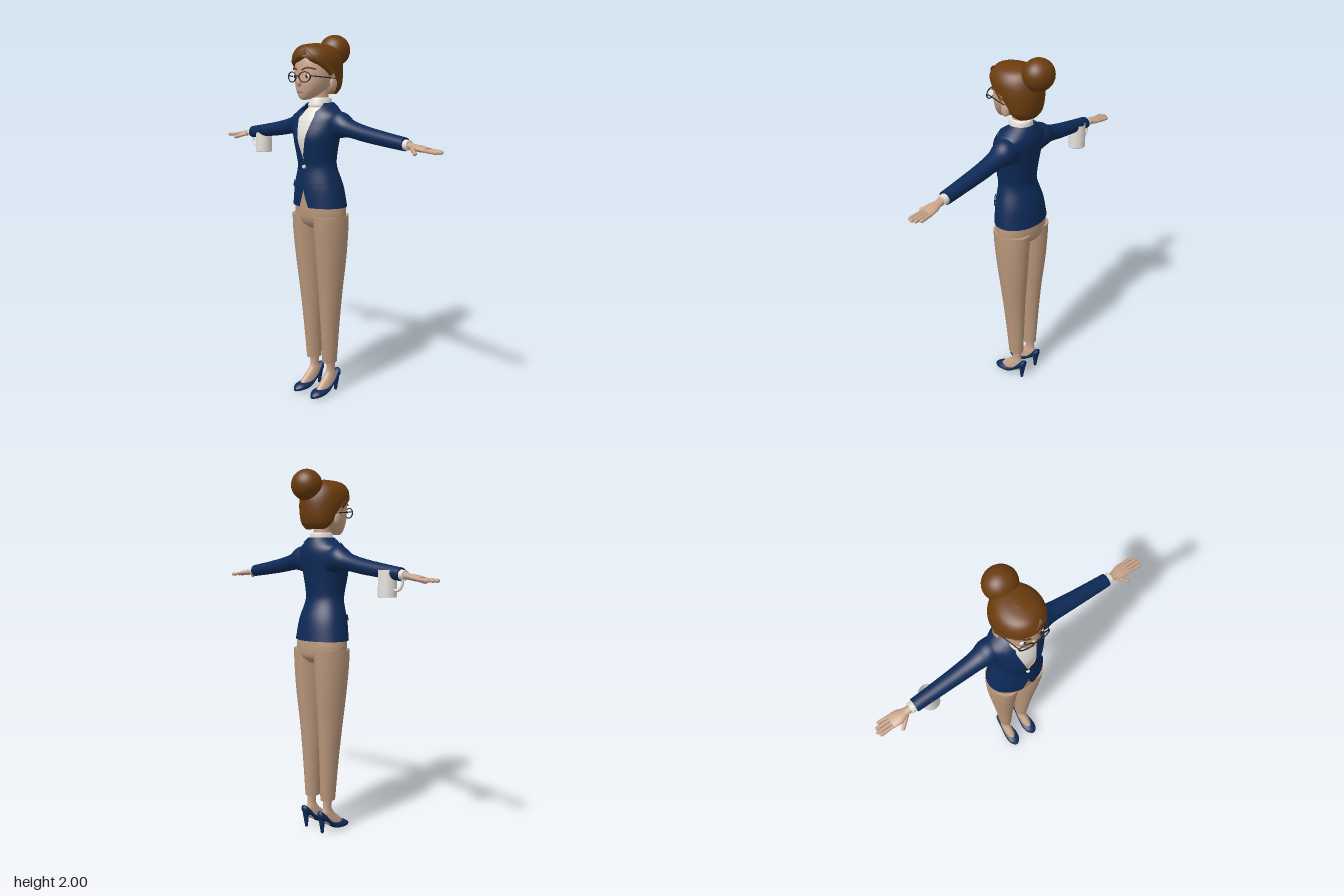
import * as THREE from 'three';

const mat = (name, color, side = THREE.FrontSide) => {
  const m = new THREE.MeshStandardMaterial({ color, side });
  m.name = name;
  return m;
};

// Piecewise-linear lookup in [[t, value], ...]
function table(t, pts) {
  if (t <= pts[0][0]) return pts[0][1];
  for (let i = 1; i < pts.length; i++) {
    const [t0, v0] = pts[i - 1], [t1, v1] = pts[i];
    if (t <= t1) return v0 + (v1 - v0) * (t - t0) / (t1 - t0);
  }
  return pts[pts.length - 1][1];
}

// Smooth skin over elliptical rings [t, aMin, aMax, bMin, bMax], t rising along the axis.
// arc(t) gives start and end angles for an open surface; the front is at PI/2.
function loft(rings, { axis = 'y', n = 32, steps = 5, arc = null, cap = true, grow = 0 } = {}) {
  const place = { y: (t, a, b) => [a, t, b], x: (t, a, b) => [t, b, a], z: (t, a, b) => [b, a, t] }[axis];
  const at = (i) => rings[Math.min(Math.max(i, 0), rings.length - 1)];
  const pos = [], index = [], rows = [];
  for (let i = 0; i < rings.length - 1; i++)
    for (let s = 0; s < steps; s++) rows.push([i, s / steps]);
  rows.push([rings.length - 2, 1]);
  const cols = arc ? n + 1 : n;
  const centers = [];
  for (const [i, u] of rows) {
    const [t, a0, a1, b0, b1] = at(i).map((p1, k) => {
      const p0 = at(i - 1)[k], p2 = at(i + 1)[k], p3 = at(i + 2)[k];
      return p1 + 0.5 * u * (p2 - p0 + u * (2 * p0 - 5 * p1 + 4 * p2 - p3 + u * (3 * (p1 - p2) + p3 - p0)));
    });
    const [s, e] = arc ? arc(t) : [0, 2 * Math.PI];
    const ac = (a0 + a1) / 2, bc = (b0 + b1) / 2;
    centers.push(place(t, ac, bc));
    for (let j = 0; j < cols; j++) {
      const q = s + (e - s) * j / n;
      pos.push(...place(t, ac + ((a1 - a0) / 2 + grow) * Math.cos(q), bc + ((b1 - b0) / 2 + grow) * Math.sin(q)));
    }
  }
  for (let i = 0; i < rows.length - 1; i++)
    for (let j = 0; j < n; j++) {
      const k = (j + 1) % cols, a = i * cols + j, b = i * cols + k;
      index.push(a, a + cols, b, b, a + cols, b + cols);
    }
  if (cap) for (const r of [0, rows.length - 1]) {
    const base = pos.length / 3, ring = pos.slice(r * cols * 3, (r + 1) * cols * 3);
    pos.push(...ring, ...centers[r]);
    for (let j = 0; j < n; j++) {
      const a = base + j, b = base + (j + 1) % cols, c = base + cols;
      r ? index.push(a, c, b) : index.push(a, b, c);
    }
  }
  const g = new THREE.BufferGeometry();
  g.setAttribute('position', new THREE.Float32BufferAttribute(pos, 3));
  g.setIndex(index);
  g.computeVertexNormals();
  return g;
}

const ball = (x, y, z, rx, ry, rz, n = 24) =>
  new THREE.SphereGeometry(1, n, Math.round(n * 0.67)).scale(rx, ry, rz).translate(x, y, z);

const tube = (pts, r, seg = 12, sides = 8) =>
  new THREE.TubeGeometry(new THREE.CatmullRomCurve3(pts.map((p) => new THREE.Vector3(...p))), seg, r, sides);

// Tapered or rounded rod between two points
function rod(p, q, r0, r1, round = false) {
  const a = new THREE.Vector3(...p), b = new THREE.Vector3(...q), d = b.clone().sub(a), len = d.length();
  const g = round ? new THREE.CapsuleGeometry(r0, len, 4, 10) : new THREE.CylinderGeometry(r1, r0, len, 14);
  g.applyQuaternion(new THREE.Quaternion().setFromUnitVectors(new THREE.Vector3(0, 1, 0), d.normalize()));
  return g.translate(...a.add(b).multiplyScalar(0.5).toArray());
}

// Reflected copy across x = 0 with corrected corner order
function mirrored(g) {
  const m = g.clone().scale(-1, 1, 1), ix = m.index.array;
  for (let i = 0; i < ix.length; i += 3) [ix[i], ix[i + 1]] = [ix[i + 1], ix[i]];
  m.computeVertexNormals();
  return m;
}

export function createModel() {
  const D = THREE.DoubleSide;
  const navy = mat('navy', 0x0d2a58, D), tan = mat('tan', 0xb8967a), skin = mat('skin', 0xc9a48a);
  const hair = mat('hair brown', 0x6b3c0e, D), white = mat('white', 0xe4e0da, D);
  const dark = mat('dark frame', 0x2a2422), lip = mat('lip', 0xa8695c);

  const model = new THREE.Group();
  model.name = 'woman';
  const add = (name, g, m) => {
    const mesh = new THREE.Mesh(g, m);
    mesh.name = name;
    model.add(mesh);
  };
  const pair = (name, g, m) => {
    add(name + 'Left', g, m);
    add(name + 'Right', mirrored(g), m);
  };

  // Jacket, open in a V above the button and in a notch at the hem
  const H = Math.PI / 2;
  const body = [
    [1.09, -.168, .168, -.11, .14], [1.2, -.148, .148, -.095, .14], [1.3, -.118, .118, -.062, .13],
    [1.36, -.117, .117, -.062, .14], [1.46, -.135, .135, -.075, .155], [1.54, -.15, .15, -.085, .135],
    [1.585, -.147, .147, -.083, .115], [1.62, -.105, .105, -.07, .095], [1.645, -.068, .068, -.056, .072]];
  const gap = (y) => table(y, [[1.09, .2], [1.18, 0], [1.345, 0], [1.42, .17], [1.5, .28], [1.6, .42], [1.645, 1]]);
  add('jacket', loft(body, { n: 56, cap: false, arc: (y) => [H + gap(y), H + 2 * Math.PI - gap(y)] }), navy);
  const width = (y) => table(y, [[1.345, 0], [1.5, .38], [1.545, .5], [1.55, .3], [1.56, .3], [1.565, .42], [1.645, .3]]);
  pair('lapel', loft(body.slice(3), {
    n: 10, steps: 8, cap: false, grow: .006, arc: (y) => [H - gap(y) - width(y), H - gap(y)] }), navy);
  add('backCollar', loft(body.slice(7), { n: 30, cap: false, grow: .006, arc: () => [Math.PI * .95, Math.PI * 2.05] }), navy);
  const flap = [[1.195, -.15, .15, -.095, .14], [1.225, -.142, .142, -.088, .138]];
  pair('pocketFlap', loft(flap, { n: 12, steps: 1, cap: false, grow: .007, arc: () => [.5, 1.1] }), navy);
  add('button', rod([0, 1.31, .125], [0, 1.31, .141], .011, .009), white);

  // Sleeves and cuffs
  pair('sleeve', loft([
    [.09, -.06, .07, 1.45, 1.6], [.16, -.06, .068, 1.465, 1.598], [.22, -.046, .056, 1.468, 1.562],
    [.32, -.04, .05, 1.453, 1.535], [.45, -.035, .045, 1.438, 1.512], [.58, -.031, .04, 1.425, 1.492]],
  { axis: 'x', n: 24 }), navy);
  pair('cuff', loft([[.565, -.025, .033, 1.43, 1.484], [.605, -.024, .032, 1.43, 1.48]], { axis: 'x', n: 20, steps: 1 }), white);

  // Hands
  pair('palm', loft([
    [.59, -.018, .025, 1.437, 1.475], [.63, -.019, .027, 1.433, 1.465],
    [.67, -.034, .042, 1.428, 1.46], [.715, -.036, .038, 1.426, 1.45]], { axis: 'x', n: 18 }), skin);
  [[-.028, .765], [-.01, .785], [.009, .792], [.028, .783]].forEach(([z, tip], i) =>
    pair('finger' + (i + 1), rod([.705, 1.438, z * .95], [tip, 1.433, z * 1.05], .009, .009, true), skin));
  pair('thumb', rod([.635, 1.442, .022], [.682, 1.424, .06], .01, .01, true), skin);

  // White turtleneck
  add('shirt', loft([
    [1.28, -.09, .09, -.045, .11], [1.36, -.1, .1, -.05, .125], [1.46, -.12, .12, -.06, .145],
    [1.54, -.13, .13, -.07, .127], [1.585, -.095, .095, -.06, .103], [1.62, -.06, .06, -.048, .08]]), white);
  add('turtleneckCollar', loft([
    [1.6, -.062, .062, -.05, .08], [1.625, -.059, .059, -.049, .079], [1.632, -.062, .062, -.053, .082],
    [1.665, -.054, .054, -.052, .073], [1.672, -.046, .046, -.045, .066]], { n: 28 }), white);

  // Trousers
  add('trouserSeat', loft([
    [.965, -.06, .06, -.06, .07], [1, -.145, .145, -.096, .112],
    [1.06, -.163, .163, -.102, .126], [1.16, -.146, .146, -.09, .125]], { n: 40 }), tan);
  pair('trouserLeg', loft([
    [.185, .026, .1, -.045, .047], [.4, .021, .116, -.055, .063], [.6, .013, .136, -.066, .08],
    [.8, .006, .156, -.085, .102], [.95, .001, .165, -.095, .117], [1.04, -.005, .165, -.1, .123]]), tan);

  // Feet and pumps
  pair('foot', loft([
    [.025, .04, .094, .02, .115], [.05, .038, .096, -.03, .1], [.075, .038, .094, -.045, .075],
    [.105, .04, .09, -.045, .042], [.14, .045, .086, -.033, .022], [.2, .041, .09, -.034, .028]], { n: 24 }), skin);
  pair('shoe', loft([
    [-.072, .095, .12, .057, .078], [-.06, .08, .13, .043, .092], [-.03, .062, .108, .038, .096],
    [0, .036, .076, .036, .098], [.04, .01, .053, .03, .104], [.08, .002, .047, .026, .108],
    [.12, .001, .04, .034, .103], [.148, .003, .022, .058, .082]], { axis: 'z', n: 24 }), navy);
  pair('heel', rod([.067, 0, -.045], [.067, .095, -.05], .008, .02), navy);

  // Head and face
  add('neck', loft([[1.6, -.045, .045, -.035, .06], [1.74, -.042, .042, -.03, .06]], { steps: 1 }), skin);
  add('face', loft([
    [1.662, -.016, .016, .11, .143], [1.672, -.034, .034, .075, .153], [1.7, -.063, .063, .02, .161],
    [1.74, -.09, .09, -.03, .164], [1.78, -.104, .104, -.06, .162], [1.83, -.108, .108, -.07, .16],
    [1.88, -.1, .1, -.06, .15], [1.91, -.07, .07, -.03, .12]], { n: 40 }), skin);
  add('nose', ball(0, 1.752, .163, .014, .024, .018, 16), skin);
  add('mouth', ball(0, 1.703, .158, .024, .005, .006, 14), lip);
  pair('ear', ball(.11, 1.745, .025, .013, .036, .024, 18), skin);
  pair('eye', ball(.044, 1.782, .146, .022, .012, .01, 16), white);
  pair('pupil', ball(.044, 1.782, .153, .009, .01, .005, 12), dark);
  pair('brow', tube([[.018, 1.815, .163], [.048, 1.826, .155], [.083, 1.818, .127]], .0045), hair);

  // Glasses
  pair('glassesRim', new THREE.TorusGeometry(.036, .0035, 8, 32).scale(1, .72, 1)
    .rotateY(.18).translate(.047, 1.779, .172), dark);
  add('glassesBridge', rod([-.013, 1.783, .179], [.013, 1.783, .179], .003, .003), dark);
  pair('glassesTemple', rod([.082, 1.785, .165], [.119, 1.772, .02], .003, .003), dark);

  // Hair shell, open around the face, with swept fringe and bun
  const faceGap = (y) => table(y, [[1.69, 1.5], [1.79, 1.5], [1.84, 1.15], [1.87, .5], [1.885, 0]]);
  add('hairShell', loft([
    [1.69, -.068, .068, -.072, .02], [1.72, -.1, .1, -.095, .07], [1.77, -.117, .117, -.107, .12],
    [1.83, -.126, .126, -.11, .165], [1.88, -.121, .121, -.1, .177], [1.92, -.098, .098, -.078, .16],
    [1.942, -.06, .06, -.04, .128], [1.952, -.012, .012, .02, .06]],
  { n: 56, arc: (y) => [H + faceGap(y), H + 2 * Math.PI - faceGap(y)] }), hair);
  add('fringeRight', tube([[.045, 1.905, .145], [-.005, 1.882, .158], [-.06, 1.862, .135], [-.098, 1.838, .085], [-.11, 1.80, .035]], .021, 24, 12), hair);
  add('fringeLeft', tube([[.03, 1.905, .145], [.06, 1.88, .138], [.092, 1.85, .095], [.11, 1.80, .035]], .02, 20, 12), hair);
  add('bun', ball(0, 1.918, -.096, .086, .082, .081, 32), hair);
  add('bunBase', ball(0, 1.885, -.05, .062, .055, .055), hair);

  // Mug hanging at the right wrist
  const wall = [[0, 0], [.046, 0], [.048, .004], [.046, .135], [.042, .135], [.042, .008], [0, .008]];
  add('mug', new THREE.LatheGeometry(wall.map((p) => new THREE.Vector2(...p)), 32).translate(-.495, 1.345, -.004), white);
  add('mugHandle', tube([[-.538, 1.465, -.004], [-.572, 1.469, -.004], [-.594, 1.445, -.004],
    [-.588, 1.4, -.004], [-.566, 1.38, -.004], [-.538, 1.382, -.004]], .007, 24), white);

  return model;
}
